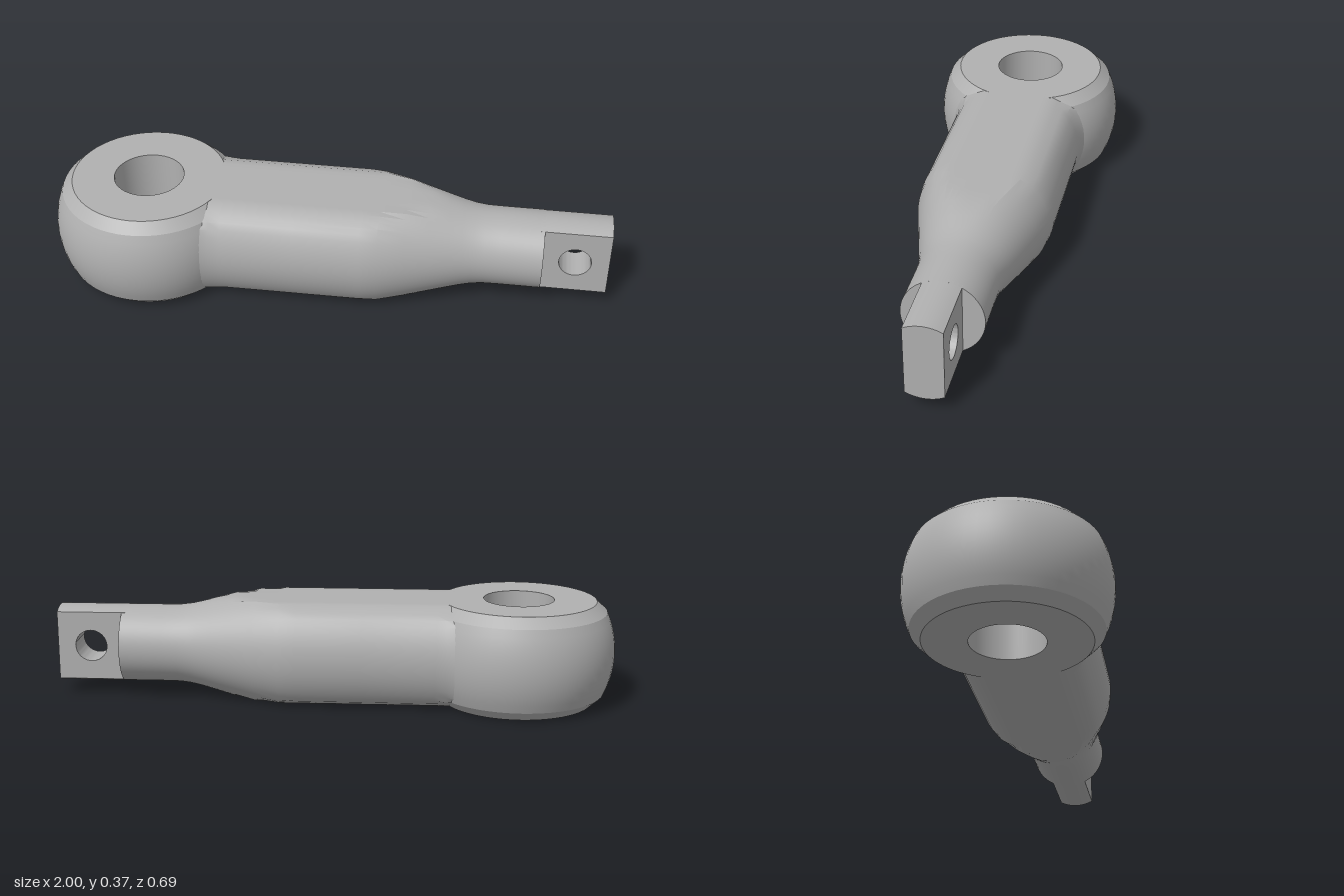
import * as THREE from 'three';
import { toCreasedNormals } from 'three/addons/utils/BufferGeometryUtils.js';

const MID = 0.1825; // half of the overall height
const NECK = 0.14; // radius of the thin end
const EYE_X = -0.655;

// Round section, cut flat above and below with softened corners
function sectionRadius(r, angle) {
  const c = Math.abs(Math.cos(angle)), s = Math.abs(Math.sin(angle));
  return Math.min(r, MID / Math.max(s, 1e-6), 0.22 / (0.417 * c + 0.909 * s));
}

// Skin over sections placed along x
function buildShank() {
  const stations = [
    [-0.47, 0.278], [-0.45, 0.268], [-0.43, 0.259], [-0.4, 0.25], [-0.36, 0.245],
    [-0.1, 0.244], [0.13, 0.243], [0.19, 0.236], [0.28, 0.212], [0.36, 0.189],
    [0.43, 0.169], [0.48, 0.155], [0.52, 0.146], [0.56, 0.141], [0.62, NECK],
    [0.765, NECK], [0.765, 0],
  ];
  const sides = 60, positions = [], index = [];
  for (const [x, r] of stations) {
    for (let j = 0; j < sides; j++) {
      const a = (j / sides) * Math.PI * 2;
      const rho = sectionRadius(r, a);
      positions.push(x, rho * Math.sin(a), rho * Math.cos(a));
    }
  }
  for (let i = 0; i < stations.length - 1; i++) {
    for (let j = 0; j < sides; j++) {
      const k = (j + 1) % sides;
      const a = i * sides + j, c = i * sides + k;
      const b = a + sides, d = c + sides;
      index.push(a, b, c);
      if (stations[i + 1][1] > 0) index.push(b, d, c);
    }
  }
  const geometry = new THREE.BufferGeometry();
  geometry.setAttribute('position', new THREE.Float32BufferAttribute(positions, 3));
  geometry.setIndex(index);
  return geometry;
}

// Barrel-sided ring with a chamfered rim and a vertical bore
function buildEye() {
  const R = 0.345, bore = 0.125, rim = 0.147;
  const profile = [new THREE.Vector2(bore, -MID), new THREE.Vector2(0.275, -MID)];
  for (let i = 0; i <= 10; i++) {
    const y = -rim + (2 * rim * i) / 10;
    profile.push(new THREE.Vector2(Math.sqrt(R * R - y * y), y));
  }
  profile.push(
    new THREE.Vector2(0.275, MID),
    new THREE.Vector2(bore, MID),
    new THREE.Vector2(bore, -MID),
  );
  return new THREE.LatheGeometry(profile, 56);
}

// Flat tongue with a cross hole; top and bottom follow the neck's curve
function buildTongue() {
  const half = 0.065;
  const shape = new THREE.Shape([
    new THREE.Vector2(0.75, -NECK), new THREE.Vector2(1, -NECK),
    new THREE.Vector2(1, NECK), new THREE.Vector2(0.75, NECK),
  ]);
  const hole = new THREE.Path();
  hole.absarc(0.88, 0, 0.057, 0, Math.PI * 2, true);
  shape.holes.push(hole);
  const geometry = new THREE.ExtrudeGeometry(shape, {
    depth: half * 2, steps: 8, bevelEnabled: false, curveSegments: 28,
  });
  geometry.translate(0, 0, -half);
  const p = geometry.attributes.position;
  for (let i = 0; i < p.count; i++) {
    const y = p.getY(i), z = p.getZ(i);
    if (Math.abs(y) > 0.1) p.setY(i, Math.sign(y) * Math.sqrt(NECK * NECK - z * z));
  }
  return geometry;
}

export function createModel() {
  const model = new THREE.Group();
  model.name = 'eyeRod';
  const steel = new THREE.MeshStandardMaterial({ color: 0xb0b0b0 });
  steel.name = 'grey steel';

  const add = (name, geometry, x = 0) => {
    const mesh = new THREE.Mesh(toCreasedNormals(geometry, 0.4), steel);
    mesh.name = name;
    mesh.position.set(x, MID, 0);
    model.add(mesh);
  };
  add('eye', buildEye(), EYE_X);
  add('shank', buildShank());
  add('tongue', buildTongue());
  return model;
}
